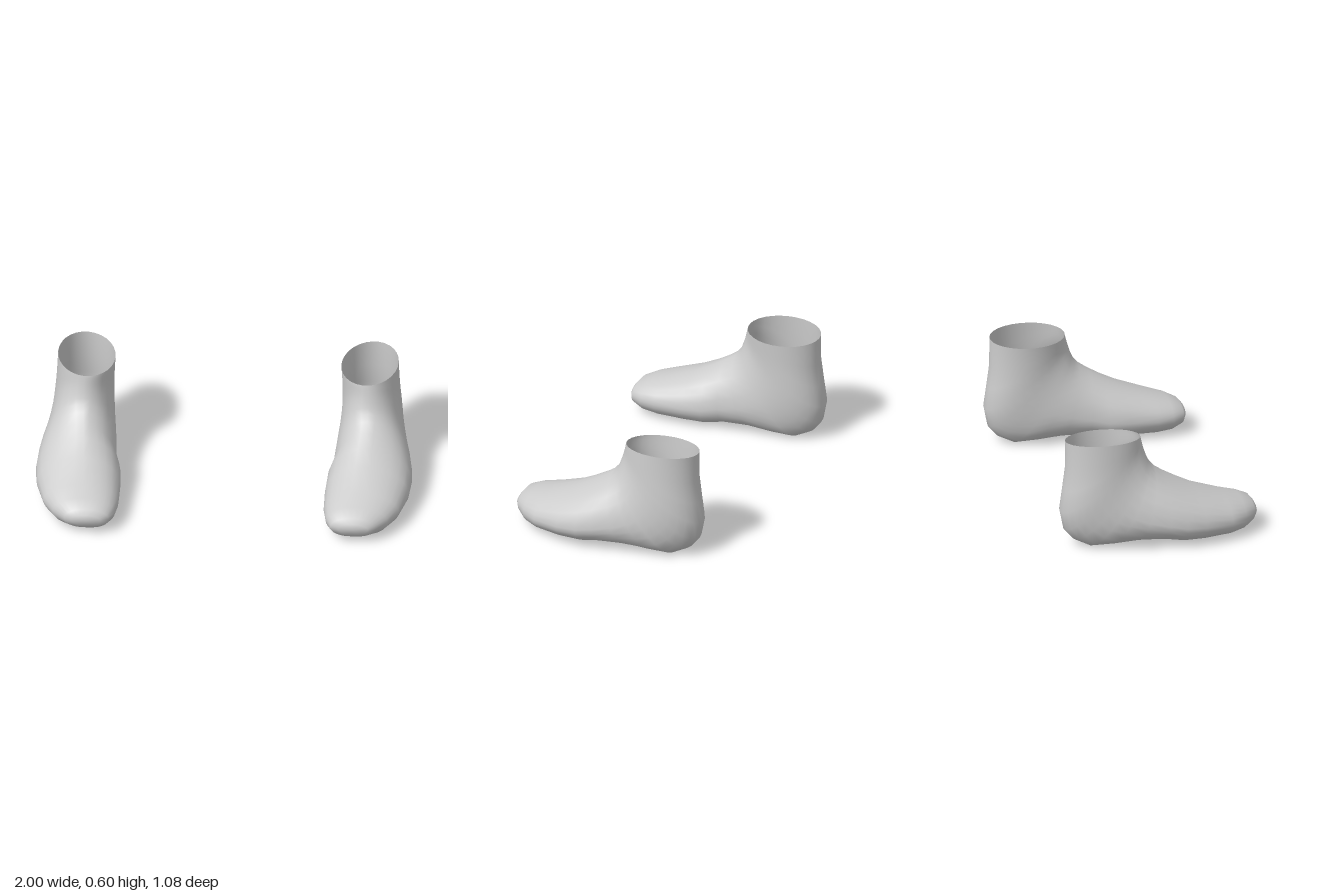
import * as THREE from 'three';

const SEG = 28;

// Rings from toe to ankle, fanning from upright to level:
// top z, top y, bottom z, bottom y, inner x, outer x, ridge x, widest point (0 bottom..1 top), upper taper
const RINGS = [
  [0.535, 0.135, 0.535, 0.075, 0.63, 0.79, 0.71, 0.5, 1],
  [0.515, 0.16, 0.515, 0.045, 0.588, 0.825, 0.71, 0.5, 0.9],
  [0.45, 0.188, 0.455, 0.016, 0.56, 0.89, 0.72, 0.5, 0.9],
  [0.36, 0.214, 0.37, 0.007, 0.545, 0.945, 0.73, 0.47, 0.95],
  [0.2, 0.276, 0.22, 0.005, 0.543, 0.99, 0.74, 0.4, 1.1],
  [0.1, 0.33, 0.1, 0.006, 0.55, 1.0, 0.745, 0.36, 1.2],
  [0.03, 0.372, 0.0, 0.022, 0.575, 0.993, 0.75, 0.34, 1.2],
  [-0.024, 0.41, -0.14, 0.025, 0.583, 0.975, 0.755, 0.36, 1.15],
  [-0.05, 0.44, -0.28, 0.011, 0.59, 0.955, 0.755, 0.42, 1.05],
  [-0.065, 0.47, -0.39, 0.006, 0.597, 0.942, 0.755, 0.47, 1],
  [-0.075, 0.5, -0.47, 0.04, 0.602, 0.932, 0.755, 0.5, 1],
  [-0.083, 0.525, -0.52, 0.1, 0.605, 0.926, 0.755, 0.5, 1],
  [-0.088, 0.545, -0.54, 0.2, 0.606, 0.92, 0.755, 0.5, 1],
  [-0.093, 0.563, -0.523, 0.32, 0.606, 0.914, 0.755, 0.5, 1],
  [-0.096, 0.577, -0.507, 0.44, 0.604, 0.91, 0.755, 0.5, 1],
  [-0.1, 0.592, -0.507, 0.592, 0.6, 0.905, 0.755, 0.5, 1],
];

// One open-topped foot shell; side is +1 for left, -1 for right
function footGeometry(side) {
  const pos = [side * 0.71, 0.105, 0.541];
  const index = [];
  const tri = (a, b, c) => (side > 0 ? index.push(a, b, c) : index.push(a, c, b));
  const at = (r, s) => 1 + r * SEG + (s % SEG);

  RINGS.forEach(([tz, ty, bz, by, xi, xo, ridge, mid, taper], r) => {
    const last = r === RINGS.length - 1;
    // squarer underside for the sole, rounder towards the heel and ankle
    const sole = r < 10 ? 0.75 : 1;
    for (let s = 0; s < SEG; s++) {
      const a = (s / SEG) * Math.PI * 2;
      const c = Math.cos(a);
      const u = Math.sin(a);
      const power = c > 0 ? taper : sole;
      const w = Math.sign(u) * Math.pow(Math.abs(u), power);
      const f = c > 0 ? mid + (1 - mid) * c : mid + mid * c;
      const x = ridge + w * (u > 0 ? xo - ridge : ridge - xi);
      const tilt = last ? 0.013 * u : 0;
      pos.push(side * x, by + (ty - by) * f + tilt, bz + (tz - bz) * f);
    }
  });

  for (let s = 0; s < SEG; s++) {
    tri(0, at(0, s + 1), at(0, s)); // toe tip
    for (let r = 0; r < RINGS.length - 1; r++) {
      tri(at(r, s), at(r, s + 1), at(r + 1, s));
      tri(at(r, s + 1), at(r + 1, s + 1), at(r + 1, s));
    }
  }

  const geo = new THREE.BufferGeometry();
  geo.setAttribute('position', new THREE.Float32BufferAttribute(pos, 3));
  geo.setIndex(index);
  geo.computeVertexNormals();
  return geo;
}

export function createModel() {
  const model = new THREE.Group();
  model.name = 'feet';
  const grey = new THREE.MeshStandardMaterial({ color: 0xcccccc, side: THREE.DoubleSide });
  grey.name = 'light grey';

  for (const side of [1, -1]) {
    const foot = new THREE.Mesh(footGeometry(side), grey);
    foot.name = side > 0 ? 'leftFoot' : 'rightFoot';
    model.add(foot);
  }
  return model;
}
